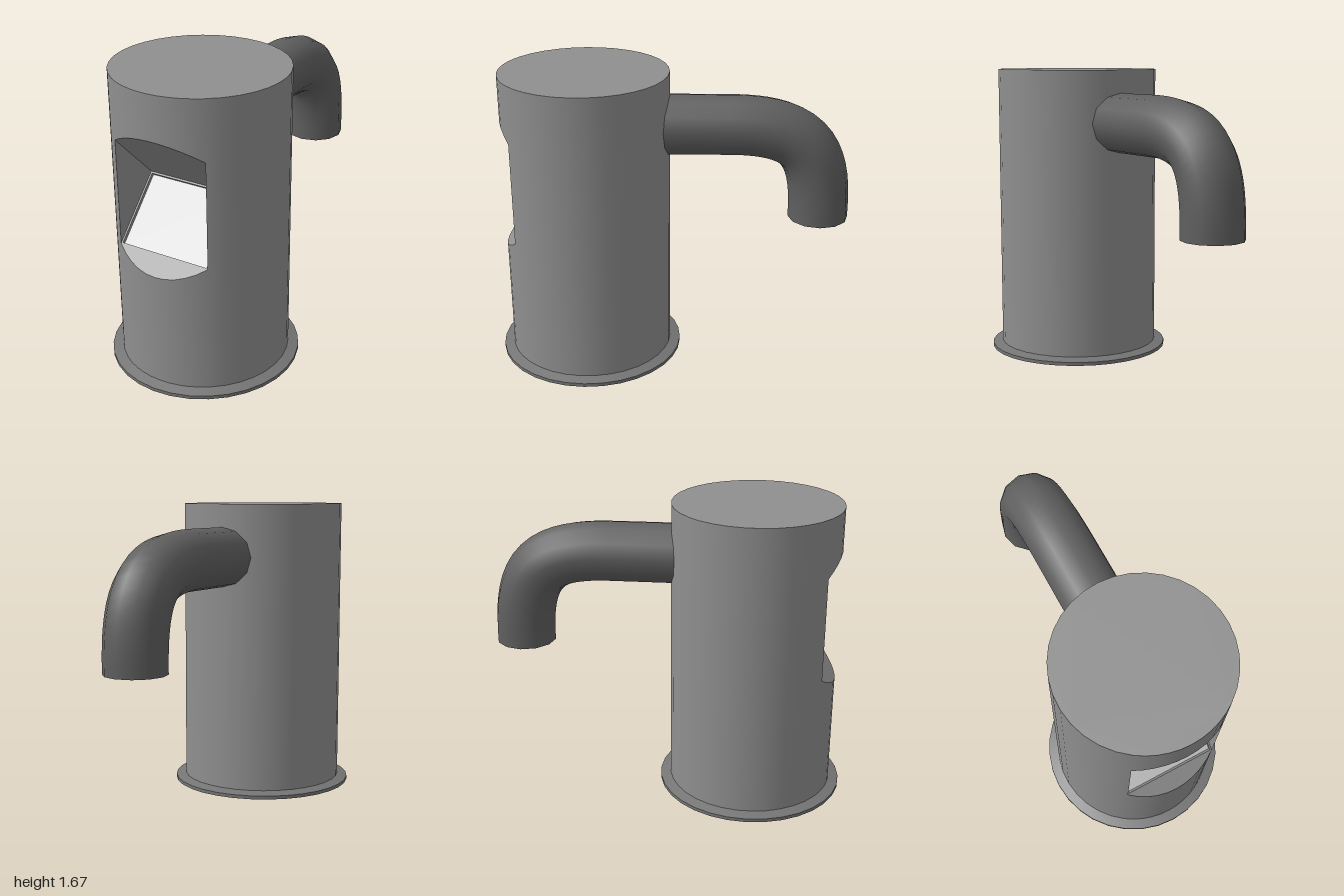
import * as THREE from 'three';
import { toCreasedNormals } from 'three/addons/utils/BufferGeometryUtils.js';

const R = 0.467, H = 1.675, CZ = 0.475;        // body radius, height, axis position
const HALF = 0.267;                            // half width of the niche
const RIDGE_Y = 1.053, RIDGE_Z = 0.0885;       // inner edge of the V-shaped niche (from the axis)
const EDGE = Math.asin(HALF / R);
const FRONT_STEPS = 10, BACK_STEPS = 28;

const grey = (color = 0xcccccc, side = THREE.FrontSide) =>
  new THREE.MeshStandardMaterial({ color, side });

function mesh(name, geometry, material) {
  const m = new THREE.Mesh(geometry, material);
  m.name = name;
  return m;
}

// Angles from the front, going round once; the first FRONT_STEPS columns carry the niche
function wallAngles() {
  const a = [];
  for (let i = 0; i <= FRONT_STEPS; i++) a.push(-EDGE + (2 * EDGE * i) / FRONT_STEPS);
  for (let i = 1; i <= BACK_STEPS; i++) a.push(EDGE + ((2 * Math.PI - 2 * EDGE) * i) / BACK_STEPS);
  return a;
}

// Cylinder wall, split above and below the niche
function wallGeometry() {
  const pos = [], nor = [], idx = [];
  const strip = (a, b, low, high) => {
    const n = pos.length / 3;
    for (const t of [a, b]) {
      for (const y of [low(t), high(t)]) {
        pos.push(R * Math.sin(t), y, R * Math.cos(t));
        nor.push(Math.sin(t), 0, Math.cos(t));
      }
    }
    idx.push(n, n + 2, n + 3, n, n + 3, n + 1);
  };
  const rise = t => R * Math.cos(t) - RIDGE_Z;
  const angles = wallAngles();
  for (let i = 0; i < angles.length - 1; i++) {
    const a = angles[i], b = angles[i + 1];
    if (i < FRONT_STEPS) {
      strip(a, b, () => 0, t => RIDGE_Y - rise(t));
      strip(a, b, t => RIDGE_Y + rise(t), () => H);
    } else strip(a, b, () => 0, () => H);
  }
  const g = new THREE.BufferGeometry();
  g.setAttribute('position', new THREE.Float32BufferAttribute(pos, 3));
  g.setAttribute('normal', new THREE.Float32BufferAttribute(nor, 3));
  g.setIndex(idx);
  return g;
}

// Sloping niche face: straight at the ridge, curved where it meets the wall
function nicheShape(sign) {
  const pts = [new THREE.Vector2(HALF, 0), new THREE.Vector2(-HALF, 0)];
  for (const t of wallAngles().slice(0, FRONT_STEPS + 1))
    pts.push(new THREE.Vector2(R * Math.sin(t), sign * Math.SQRT2 * (R * Math.cos(t) - RIDGE_Z)));
  return new THREE.Shape(pts);
}

export function createModel() {
  const model = new THREE.Group();
  const bodyMat = grey(0x8f8f8f);

  // Body with top cap
  const body = new THREE.Group();
  body.name = 'body';
  body.position.z = CZ;
  model.add(body);
  body.add(mesh('bodyWall', wallGeometry(), bodyMat));
  const capShape = new THREE.Shape(
    wallAngles().slice(0, -1).map(t => new THREE.Vector2(R * Math.sin(t), -R * Math.cos(t))));
  const cap = mesh('topCap', new THREE.ShapeGeometry(capShape), bodyMat);
  cap.rotation.x = -Math.PI / 2;
  cap.position.y = H;
  body.add(cap);

  // Niche: sloping ceiling and triangular cheeks
  const niche = new THREE.Group();
  niche.name = 'niche';
  niche.position.set(0, RIDGE_Y, RIDGE_Z);
  body.add(niche);
  const ceiling = mesh('nicheCeiling', new THREE.ShapeGeometry(nicheShape(1)), bodyMat);
  ceiling.rotation.x = Math.PI / 4;
  niche.add(ceiling);
  const depth = R * Math.cos(EDGE) - RIDGE_Z;
  const cheekShape = new THREE.Shape([
    new THREE.Vector2(0, 0), new THREE.Vector2(depth, -depth), new THREE.Vector2(depth, depth)]);
  for (const s of [-1, 1]) {
    const cheek = mesh(s > 0 ? 'leftCheek' : 'rightCheek',
      new THREE.ShapeGeometry(cheekShape), grey(0x8f8f8f, THREE.DoubleSide));
    cheek.rotation.y = -Math.PI / 2;
    cheek.position.x = s * HALF;
    niche.add(cheek);
  }

  // Lower slope: a frame around a recessed panel
  const slope = new THREE.Group();
  slope.name = 'lowerSlope';
  slope.rotation.x = -Math.PI / 4;
  niche.add(slope);
  const w = 0.258, top = -0.01, bottom = -0.411, recess = 0.02;
  const frameShape = nicheShape(-1);
  frameShape.holes.push(new THREE.Path([
    new THREE.Vector2(-w, bottom), new THREE.Vector2(-w, top),
    new THREE.Vector2(w, top), new THREE.Vector2(w, bottom)]));
  const frame = mesh('panelFrame',
    new THREE.ExtrudeGeometry(frameShape, { depth: recess, bevelEnabled: false }), bodyMat);
  frame.position.z = -recess;
  slope.add(frame);
  const panel = mesh('panel', new THREE.PlaneGeometry(2 * w, top - bottom), grey());
  panel.position.set(0, (top + bottom) / 2, -recess + 0.001);
  slope.add(panel);

  // Base flange
  const profile = [[0, 0], [0.525, 0], [0.525, 0.02], [0.46, 0.037]].map(p => new THREE.Vector2(...p));
  const flange = mesh('baseFlange',
    toCreasedNormals(new THREE.LatheGeometry(profile, 32), 0.5), grey(0x757575));
  flange.position.z = CZ;
  model.add(flange);

  // Spout: straight out of the back, then bending down to an open end
  const v = (y, z) => new THREE.Vector3(0, y, z);
  const path = new THREE.CurvePath();
  path.add(new THREE.LineCurve3(v(1.376, 0.1), v(1.376, -0.33)));
  path.add(new THREE.CubicBezierCurve3(
    v(1.376, -0.33), v(1.376, -0.71), v(1.256, -0.831), v(0.876, -0.831)));
  path.add(new THREE.LineCurve3(v(0.876, -0.831), v(0.83, -0.831)));
  model.add(mesh('spout', new THREE.TubeGeometry(path, 28, 0.169, 12, false),
    grey(0x606060, THREE.DoubleSide)));

  return model;
}
